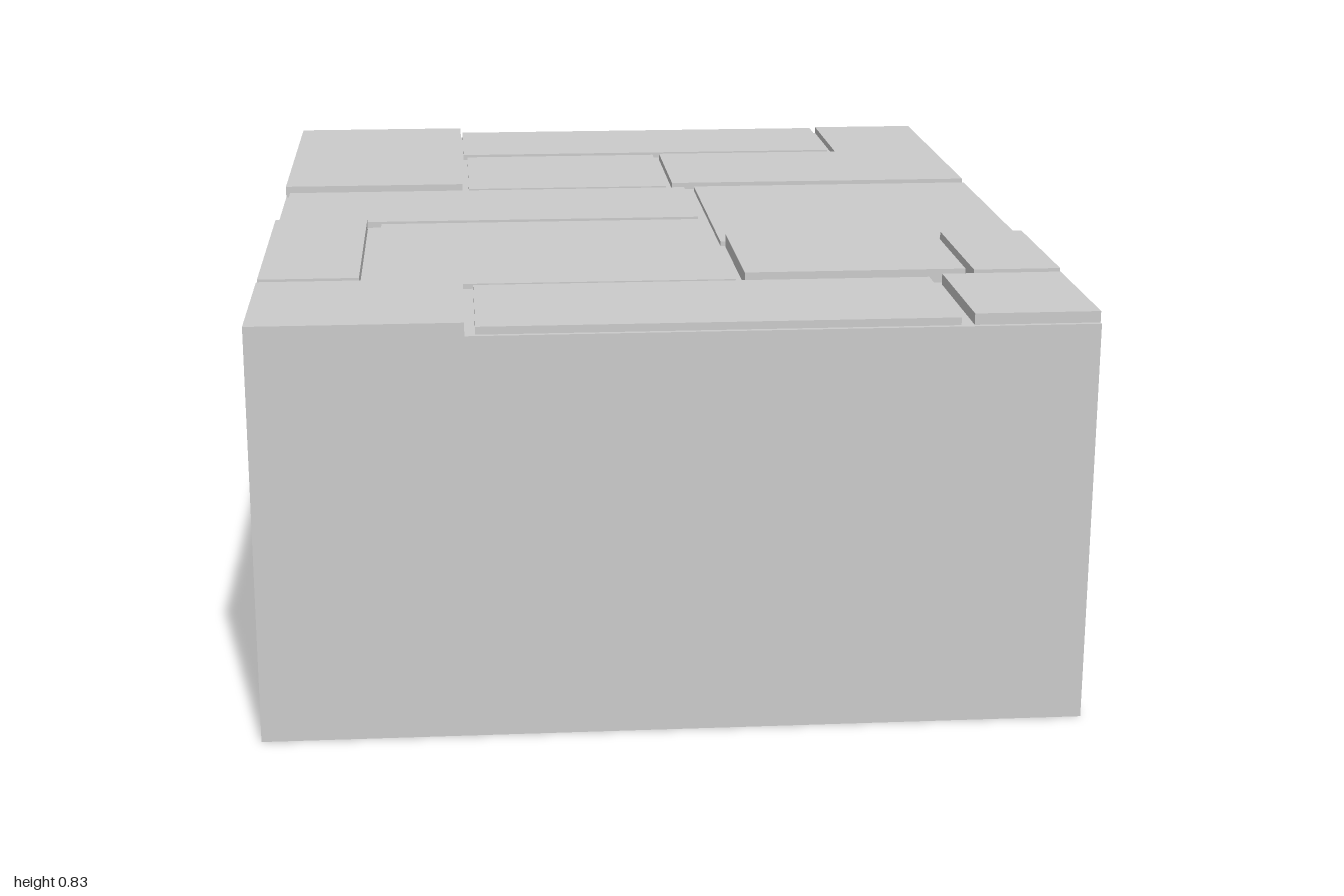
import * as THREE from 'three';

const BASE_TOP = 0.8;

// Paving slabs: x min, x max, z min, z max, top, optional underside
const SLABS = [
  [-0.8, -0.39, -1, -0.27, 0.825],
  [-0.385, 0.535, -1, -0.69, 0.813],
  [0.55, 0.8, -1, -0.66, 0.815],
  [-0.375, 0.09, -0.675, -0.285, 0.81],
  [0.105, 0.8, -0.66, -0.295, 0.815],
  [-0.79, 0.13, -0.255, 0.07, 0.813],
  [0.155, 0.8, -0.275, 0.305, 0.81],
  [-0.8, -0.6, 0.09, 0.635, 0.825],
  [-0.57, 0.15, 0.08, 0.64, 0.81, 0.795],
  [0.165, 0.61, 0.315, 0.66, 0.828],
  [0.625, 0.8, 0.325, 0.67, 0.828],
  [-0.8, -0.395, 0.66, 1, 0.826],
  [-0.375, 0.535, 0.67, 0.99, 0.815],
  [0.56, 0.8, 0.675, 0.99, 0.822],
];

export function createModel() {
  const model = new THREE.Group();
  model.name = 'pavedBlock';
  const stone = new THREE.MeshStandardMaterial({
    color: 0xcccccc, flatShading: true, side: THREE.DoubleSide,
  });

  // Hollow base: four walls and a top, open underneath
  const shell = new THREE.BoxGeometry(1.6, BASE_TOP, 2);
  const faces = Array.from(shell.index.array);
  faces.splice(18, 6); // drop the bottom face
  shell.setIndex(faces);
  shell.clearGroups();
  const base = new THREE.Mesh(shell, stone);
  base.name = 'base';
  base.position.y = BASE_TOP / 2;
  model.add(base);

  // Uneven slabs separated by narrow joints
  const paving = new THREE.Group();
  paving.name = 'paving';
  SLABS.forEach(([x0, x1, z0, z1, top, bottom = BASE_TOP], i) => {
    const slab = new THREE.Mesh(new THREE.BoxGeometry(x1 - x0, top - bottom, z1 - z0), stone);
    slab.name = `pavingSlab${i + 1}`;
    slab.position.set((x0 + x1) / 2, (top + bottom) / 2, (z0 + z1) / 2);
    paving.add(slab);
  });
  model.add(paving);
  return model;
}
